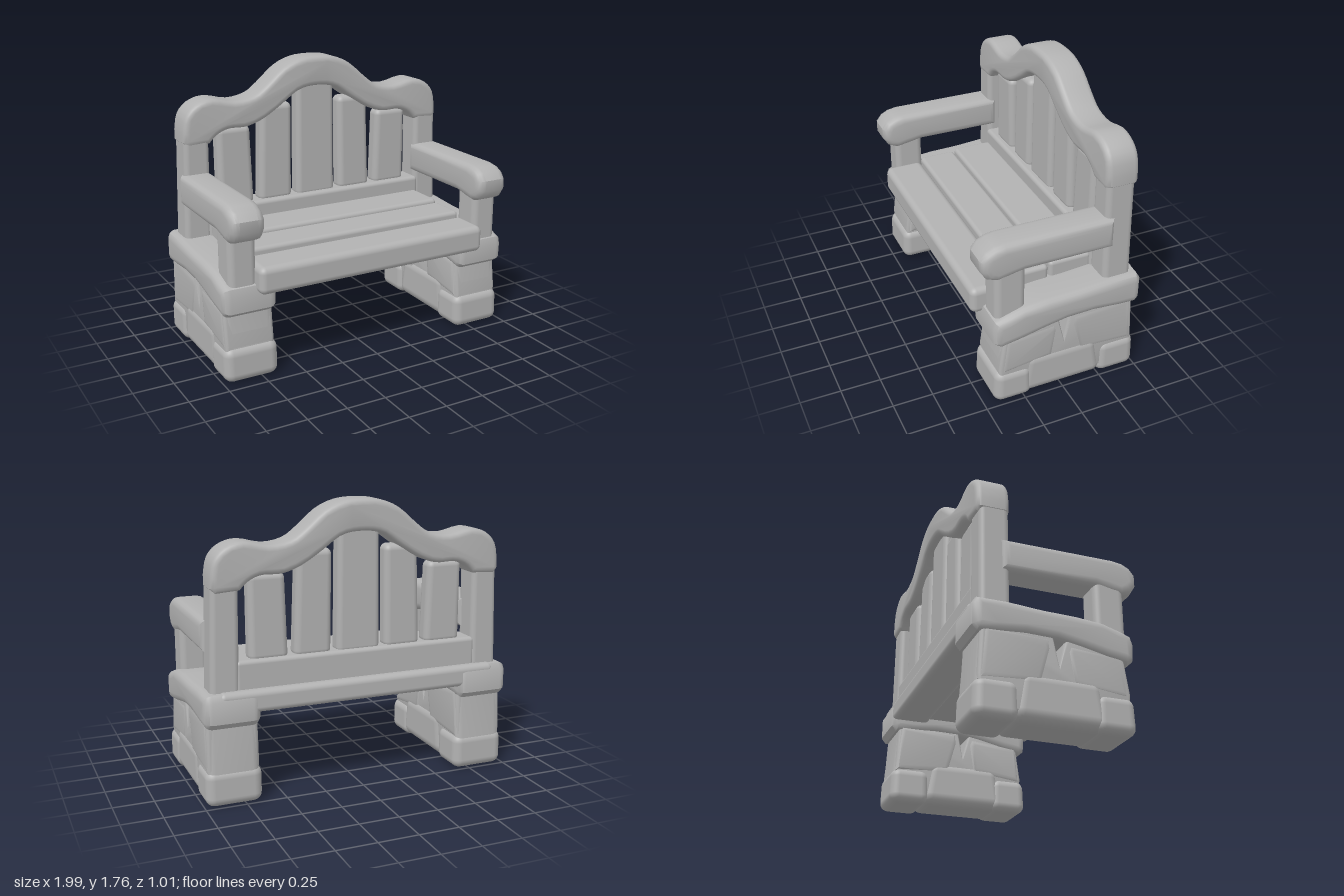
import * as THREE from 'three';
import { toCreasedNormals } from 'three/addons/utils/BufferGeometryUtils.js';
import { RoundedBoxGeometry } from 'three/addons/geometries/RoundedBoxGeometry.js';

const stoneGrey = new THREE.MeshStandardMaterial({ color: 0xb2b2b2 });
stoneGrey.name = 'stoneGrey';

function addMesh(group, name, geometry) {
  const mesh = new THREE.Mesh(geometry, stoneGrey);
  mesh.name = name;
  group.add(mesh);
  return mesh;
}

// Rounded block between two corners; taper scales the top, lean shifts it in x
function block(x0, x1, y0, y1, z0, z1, radius, { taperX = 1, taperZ = 1, lean = 0 } = {}) {
  const h = y1 - y0;
  const geo = new RoundedBoxGeometry(x1 - x0, h, z1 - z0, 4, radius);
  const p = geo.attributes.position;
  for (let i = 0; i < p.count; i++) {
    const t = p.getY(i) / h + 0.5;
    p.setX(i, p.getX(i) * (1 + (taperX - 1) * t) + lean * t);
    p.setZ(i, p.getZ(i) * (1 + (taperZ - 1) * t));
  }
  return geo.translate((x0 + x1) / 2, (y0 + y1) / 2, (z0 + z1) / 2);
}

// Softly bevelled slab, centred in depth, that keeps the given outline
function slab(shape, depth, bevel, curveSegments = 6) {
  const geo = new THREE.ExtrudeGeometry(shape, {
    depth: depth - 2 * bevel, bevelThickness: bevel, bevelSize: bevel,
    bevelOffset: -bevel, bevelSegments: 4, curveSegments,
  });
  geo.translate(0, 0, -(depth - 2 * bevel) / 2);
  return toCreasedNormals(geo, 0.65);
}

// Slab from a [z, y] side profile, running from x0 to x1
function sideSlab(profile, x0, x1, bevel) {
  const shape = new THREE.Shape(profile.map(([z, y]) => new THREE.Vector2(z, y)));
  return slab(shape, x1 - x0, bevel).rotateY(-Math.PI / 2).translate((x0 + x1) / 2, 0, 0);
}

function topRail() {
  const upper = [[0.925, 1.36], [0.905, 1.46], [0.84, 1.53], [0.73, 1.56], [0.58, 1.53],
    [0.45, 1.55], [0.36, 1.61], [0.24, 1.71], [0.12, 1.76], [0, 1.77]];
  const lower = [[0, 1.58], [0.13, 1.56], [0.25, 1.48], [0.38, 1.4], [0.5, 1.36],
    [0.62, 1.36], [0.7, 1.33], [0.755, 1.28]];
  const v = ([x, y], s = 1) => new THREE.Vector2(s * x, y);
  const top = new THREE.SplineCurve([...upper.map(p => v(p)),
    ...upper.slice(0, -1).reverse().map(p => v(p, -1))]).getPoints(54);
  const bottom = new THREE.SplineCurve([...lower.slice(1).reverse().map(p => v(p, -1)),
    ...lower.map(p => v(p))]).getPoints(45);
  const outline = [v([0.925, 1.3]), ...top, v([-0.925, 1.3]), v([-0.9, 1.27]), ...bottom, v([0.9, 1.27])];
  return slab(new THREE.Shape(outline), 0.205, 0.035).translate(0, 0, -0.372);
}

// One end of the bench, built on the +x side
function benchEnd() {
  const end = new THREE.Group();

  // Leg of piled stones with a wedge gap near the top
  addMesh(end, 'legCore', sideSlab([[0.39, 0.06], [0.41, 0.24], [0.375, 0.48], [0.03, 0.52],
    [-0.01, 0.35], [-0.04, 0.52], [-0.46, 0.53], [-0.475, 0.24], [-0.46, 0.06]], 0.665, 0.975, 0.02));
  addMesh(end, 'frontFootStone', block(0.645, 0.99, 0.005, 0.225, 0.19, 0.44, 0.055, { taperZ: 0.92 }));
  addMesh(end, 'middleFootStone', block(0.65, 0.985, 0.01, 0.3, -0.29, 0.29, 0.07, { taperZ: 0.8 }));
  addMesh(end, 'backFootStone', block(0.645, 0.99, 0.005, 0.23, -0.5, -0.24, 0.055, { taperZ: 0.95 }));
  addMesh(end, 'frontUpperStone', sideSlab([[0.41, 0.2], [0.385, 0.47], [0.04, 0.5], [0.02, 0.44],
    [0.05, 0.24]], 0.655, 0.98, 0.05));
  addMesh(end, 'backUpperStone', sideSlab([[-0.04, 0.44], [-0.05, 0.52], [-0.46, 0.54], [-0.485, 0.2],
    [-0.1, 0.22]], 0.655, 0.98, 0.05));

  // Bowed beam on top of the leg
  addMesh(end, 'sideBeam', sideSlab([[0.4, 0.42], [0.28, 0.44], [0.12, 0.475], [-0.02, 0.5], [-0.2, 0.505],
    [-0.36, 0.49], [-0.48, 0.485], [-0.51, 0.52], [-0.51, 0.65], [-0.485, 0.69], [-0.3, 0.69],
    [-0.1, 0.675], [0.1, 0.67], [0.26, 0.655], [0.36, 0.625], [0.43, 0.6], [0.445, 0.55],
    [0.44, 0.45]], 0.65, 0.995, 0.05));

  // Posts and armrest
  addMesh(end, 'backPost', block(0.765, 0.945, 0.55, 1.36, -0.455, -0.275, 0.035, { taperX: 0.9, lean: -0.015 }));
  addMesh(end, 'armPost', block(0.77, 0.945, 0.5, 0.98, 0.23, 0.42, 0.04));
  addMesh(end, 'armrest', sideSlab([[-0.33, 0.9], [0.24, 0.9], [0.34, 0.88], [0.41, 0.87], [0.47, 0.895],
    [0.505, 0.95], [0.505, 1.02], [0.47, 1.065], [0.42, 1.09], [0.36, 1.1], [-0.33, 1.1]], 0.742, 0.957, 0.05));
  return end;
}

export function createModel() {
  const bench = new THREE.Group();
  bench.name = 'gardenBench';

  // Both ends; the outlines are symmetric in x, so a mirrored copy is rebuilt with flipped faces
  const left = benchEnd();
  left.name = 'leftEnd';
  const right = benchEnd();
  right.name = 'rightEnd';
  right.scale.x = -1;
  bench.add(left, right);

  // Backrest
  addMesh(bench, 'topRail', topRail());
  addMesh(bench, 'lowerBackBoard', block(-0.785, 0.785, 0.62, 0.865, -0.45, -0.265, 0.025));
  addMesh(bench, 'rearBeam', block(-0.9, 0.9, 0.56, 0.695, -0.505, -0.26, 0.035));
  addMesh(bench, 'centreSlat', block(-0.14, 0.14, 0.84, 1.61, -0.42, -0.305, 0.035, { taperX: 0.95 }));
  for (const s of [1, -1]) {
    const slats = [[0.295, 0.118, 1.485, -0.015], [0.57, 0.122, 1.365, 0.01]];
    slats.forEach(([x, half, top, lean], i) => {
      const name = (s > 0 ? 'left' : 'right') + (i ? 'OuterSlat' : 'InnerSlat');
      addMesh(bench, name, block(s * x - half, s * x + half, 0.84, top, -0.42, -0.305, 0.04,
        { taperX: 0.93, lean: s * lean }));
    });
  }

  // Seat planks
  addMesh(bench, 'backPlank', block(-0.77, 0.77, 0.59, 0.77, -0.28, -0.004, 0.025));
  addMesh(bench, 'middlePlank', block(-0.77, 0.77, 0.58, 0.753, 0.002, 0.25, 0.025));
  addMesh(bench, 'frontPlank', block(-0.785, 0.785, 0.55, 0.72, 0.245, 0.503, 0.04));
  return bench;
}
